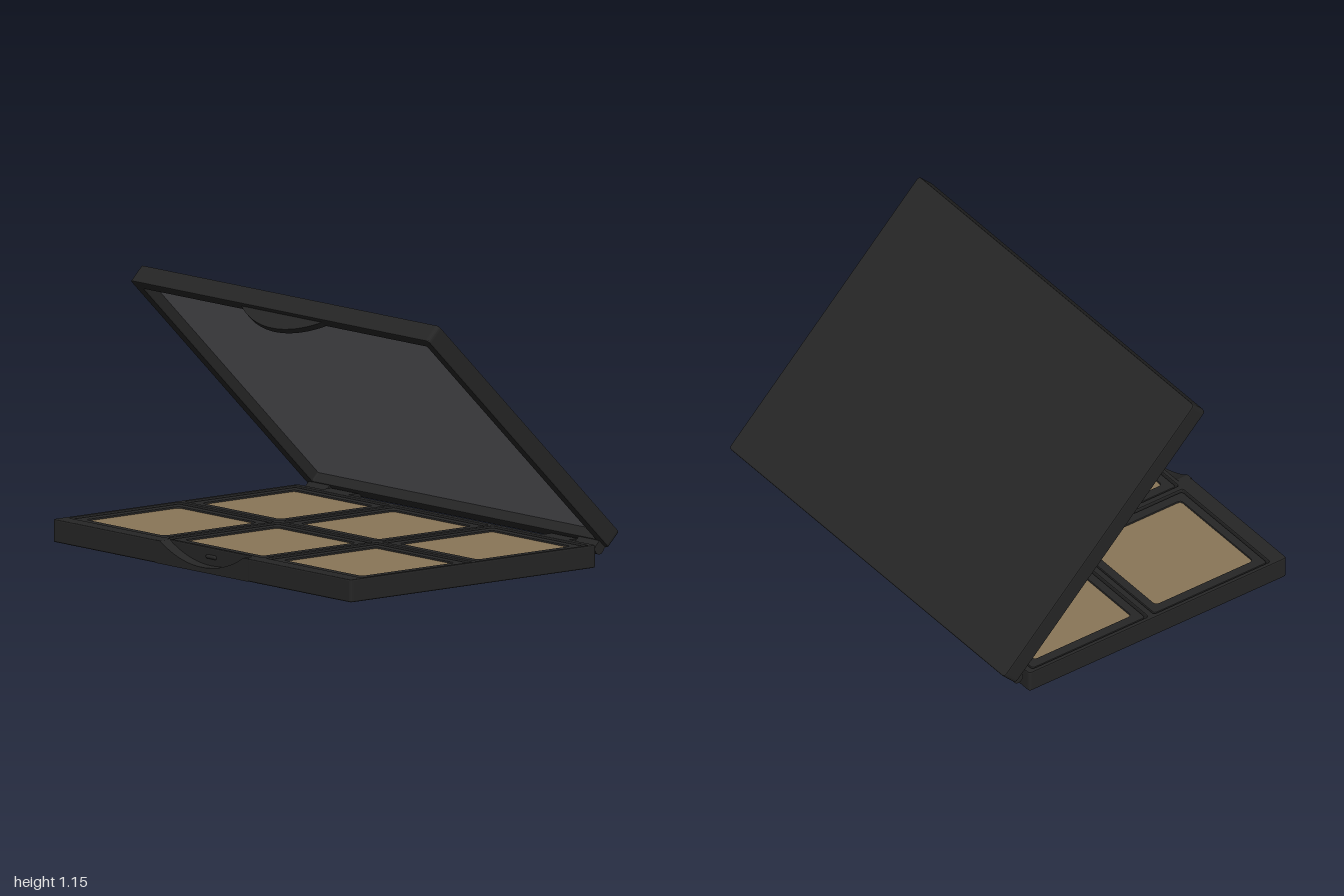
import * as THREE from 'three';

const dark = new THREE.MeshStandardMaterial({ color: 0x262626 });
const powder = new THREE.MeshStandardMaterial({ color: 0x8a7658 });
const glass = new THREE.MeshStandardMaterial({ color: 0x77777c });

const PIVOT = { y: 0.075, z: -0.66 };   // hinge axis
const BEVEL = 0.006;

function add(parent, name, geometry, material, x = 0, y = 0, z = 0) {
  const mesh = new THREE.Mesh(geometry, material);
  mesh.name = name;
  mesh.position.set(x, y, z);
  parent.add(mesh);
  return mesh;
}

// Polygon with softly rounded corners
function rounded(points, r, path = new THREE.Shape()) {
  const pts = points.map(p => new THREE.Vector2(p[0], p[1]));
  pts.forEach((p, i) => {
    const prev = pts[(i + pts.length - 1) % pts.length];
    const next = pts[(i + 1) % pts.length];
    const a = prev.clone().sub(p).setLength(r).add(p);
    const b = next.clone().sub(p).setLength(r).add(p);
    if (i === 0) path.moveTo(a.x, a.y); else path.lineTo(a.x, a.y);
    path.quadraticCurveTo(p.x, p.y, b.x, b.y);
  });
  path.closePath();
  return path;
}

// Plan rectangle; shape y is -z
const rect = (x0, x1, z0, z1) => [[x0, -z1], [x1, -z1], [x1, -z0], [x0, -z0]];

// Plan shape raised from y0 to y1
function slab(shape, y0, y1, bevel = BEVEL) {
  return new THREE.ExtrudeGeometry(shape, {
    depth: y1 - y0 - 2 * bevel, bevelEnabled: bevel > 0, bevelThickness: bevel,
    bevelSize: bevel, bevelOffset: -bevel, bevelSegments: 2, curveSegments: 4,
  }).translate(0, 0, bevel).rotateX(-Math.PI / 2).translate(0, y0, 0);
}

// Points of a shallow arc hanging below a chord
function arcPoints(half, drop, y, n = 24) {
  const r = (half * half + drop * drop) / (2 * drop);
  const a = Math.asin(half / r);
  return Array.from({ length: n + 1 }, (_, i) => {
    const t = a - (2 * a * i) / n;
    return new THREE.Vector2(r * Math.sin(t), y - drop + r * (1 - Math.cos(t)));
  });
}

const knuckle = length => new THREE.CylinderGeometry(0.025, 0.025, length, 20).rotateZ(Math.PI / 2);

function buildBase() {
  const base = new THREE.Group();
  base.name = 'base';

  // Body with a thumb notch in front and six wells
  const body = rounded([
    [-1, -0.755], [-0.3, -0.755], [-0.3, -0.7], [0.3, -0.7], [0.3, -0.755],
    [1, -0.755], [1, 0.62], [-1, 0.62],
  ], 0.015);
  const wells = [];
  for (const x of [-0.6625, 0, 0.6625]) for (const z of [0.37, -0.28]) wells.push([x, z]);
  for (const [x, z] of wells) {
    body.holes.push(rounded(rect(x - 0.3175, x + 0.3175, z - 0.31, z + 0.31), 0.012, new THREE.Path()));
  }
  add(base, 'baseBody', slab(body, 0, 0.1), dark);
  add(base, 'baseFloor', slab(rounded(rect(-0.985, 0.985, -0.605, 0.69), 0.01), 0, 0.02, 0), dark);

  // Front strip with the curved notch
  const strip = new THREE.Shape();
  strip.moveTo(-0.31, 0);
  strip.lineTo(0.31, 0);
  strip.lineTo(0.31, 0.1);
  arcPoints(0.28, 0.078, 0.1).forEach(p => strip.lineTo(p.x, p.y));
  strip.lineTo(-0.31, 0.1);
  strip.closePath();
  add(base, 'frontNotch', new THREE.ExtrudeGeometry(strip, { depth: 0.057, bevelEnabled: false }), dark, 0, 0, 0.698);

  // Small catch on the notch wall
  const bump = new THREE.CapsuleGeometry(0.009, 0.05, 6, 12).rotateZ(Math.PI / 2);
  add(base, 'catch', bump, dark, 0, 0.06, 0.7);

  // Trays and pressed powder
  for (const [x, z] of wells) {
    const tray = rounded(rect(-0.3085, 0.3085, -0.301, 0.301), 0.015);
    tray.holes.push(rounded(rect(-0.2625, 0.2625, -0.26, 0.26), 0.02, new THREE.Path()));
    add(base, 'tray', slab(tray, 0.015, 0.094, 0.004), dark, x, 0, z);
    add(base, 'powder', slab(rounded(rect(-0.266, 0.266, -0.264, 0.264), 0.02), 0.015, 0.086, 0), powder, x, 0, z);
  }

  // Fixed hinge lugs
  for (const s of [-1, 1]) {
    add(base, 'baseLug', new THREE.BoxGeometry(0.178, 0.05, 0.05), dark, s * 0.74, PIVOT.y, -0.635);
    add(base, 'baseKnuckle', knuckle(0.178), dark, s * 0.74, PIVOT.y, PIVOT.z);
  }
  return base;
}

// Lid is built closed around the hinge axis, then swung open
function buildLid() {
  const lid = new THREE.Group();
  lid.name = 'lid';
  const back = -0.021, front = 1.414, under = 0.025, top = 0.113;

  const frame = rounded(rect(-1, 1, back, front), 0.018);
  frame.holes.push(rounded(rect(-0.95, 0.95, back + 0.05, front - 0.05), 0.006, new THREE.Path()));
  add(lid, 'lidFrame', slab(frame, under, top), dark);
  add(lid, 'lidPanel', slab(rounded(rect(-0.985, 0.985, back + 0.015, front - 0.015), 0.01), 0.08, top, 0), dark);
  add(lid, 'mirror', new THREE.BoxGeometry(1.9, 0.01, front - back - 0.1), glass, 0, 0.08, (front + back) / 2);

  // Curved closing tab on the front rim
  const tab = new THREE.Shape();
  tab.moveTo(-0.27, under + 0.01);
  tab.lineTo(-0.27, under);
  arcPoints(0.27, 0.077, under).reverse().forEach(p => tab.lineTo(p.x, p.y));
  tab.lineTo(0.27, under + 0.01);
  tab.closePath();
  add(lid, 'closingTab', new THREE.ExtrudeGeometry(tab, { depth: 0.028, bevelEnabled: false }), dark, 0, 0, front - 0.05);

  // Moving hinge lugs
  for (const s of [-1, 1]) {
    add(lid, 'lidLug', new THREE.BoxGeometry(0.14, 0.04, 0.046), dark, s * 0.905, 0.013, 0.002);
    add(lid, 'lidKnuckle', knuckle(0.14), dark, s * 0.905, 0, 0);
  }

  lid.position.set(0, PIVOT.y, PIVOT.z);
  lid.rotation.x = -Math.PI / 4;
  return lid;
}

export function createModel() {
  const model = new THREE.Group();
  model.name = 'powderPalette';
  model.add(buildBase(), buildLid());
  return model;
}
